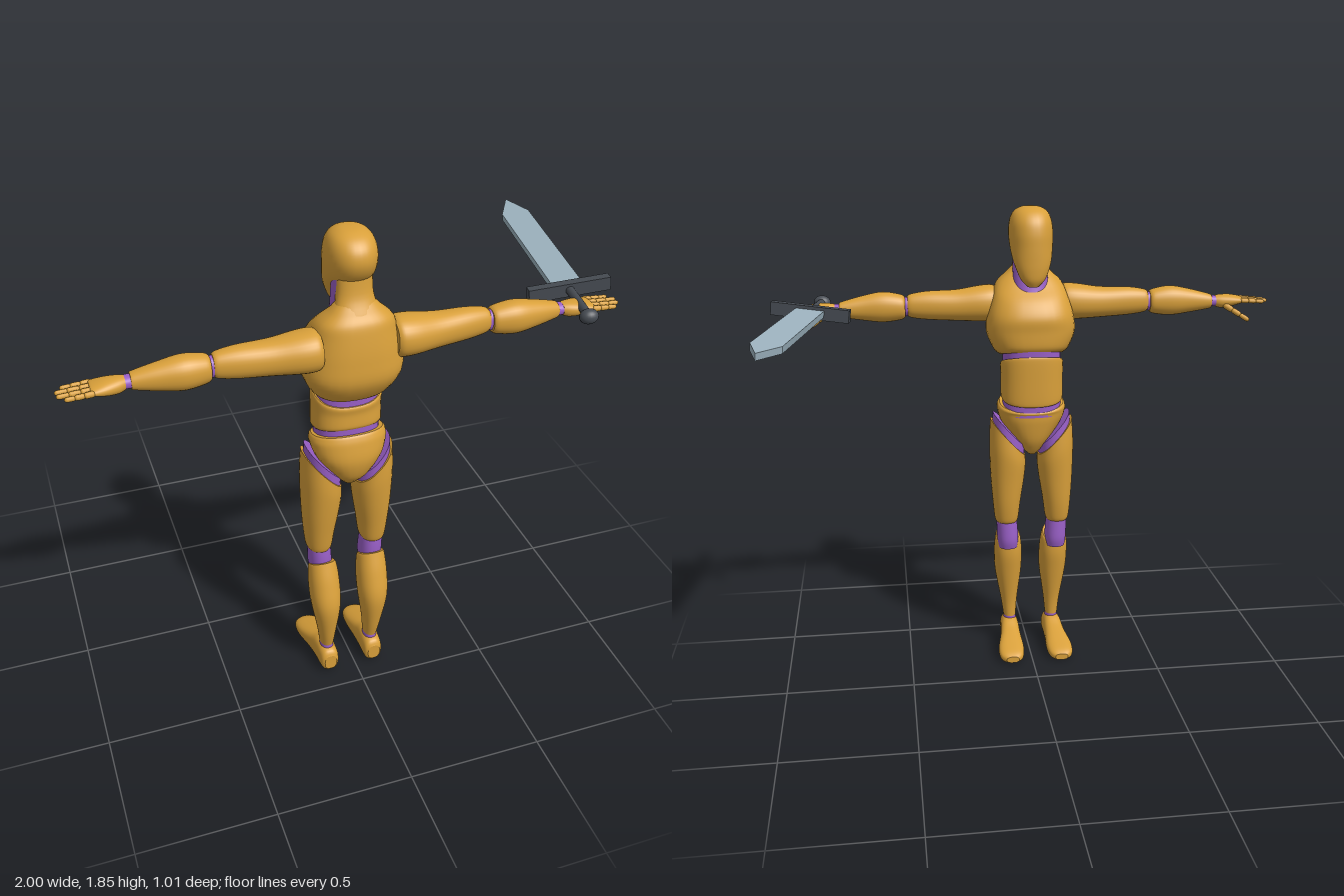
import * as THREE from 'three';

const mat = (name, color) => {
  const m = new THREE.MeshStandardMaterial({ color });
  m.name = name;
  return m;
};

// Catmull-Rom blend of four scalars
const blend = (a, b, c, d, t) =>
  0.5 * (2 * b + (c - a) * t + (2 * a - 5 * b + 4 * c - d) * t * t + (3 * b - a - 3 * c + d) * t * t * t);

// Smooth loft up the y axis through rows of
// [y, centreX, centreZ, radiusX, radiusZ, slopeX, slopeZ]; ends are capped with hard edges
function loft(rows, power = 2.2, seg = 32, sub = 5) {
  const rings = [];
  const n = rows.length;
  const val = (i, k) => rows[Math.min(n - 1, Math.max(0, i))][k] || 0;
  for (let i = 0; i < n - 1; i++) {
    for (let s = 0; s < sub + (i === n - 2 ? 1 : 0); s++) {
      rings.push([0, 1, 2, 3, 4, 5, 6].map((k) => blend(val(i - 1, k), val(i, k), val(i + 1, k), val(i + 2, k), s / sub)));
    }
  }
  const pos = [], idx = [];
  const bend = (v) => Math.sign(v) * Math.abs(v) ** (2 / power);
  const addRing = ([y, cx, cz, rx, rz, tx, tz]) => {
    const start = pos.length / 3;
    for (let j = 0; j < seg; j++) {
      const a = (j / seg) * Math.PI * 2;
      const x = rx * bend(Math.cos(a)), z = rz * bend(Math.sin(a));
      pos.push(cx + x, y + tx * x + tz * z, cz + z);
    }
    return start;
  };
  const starts = rings.map(addRing);
  for (let i = 0; i < starts.length - 1; i++) {
    for (let j = 0; j < seg; j++) {
      const k = (j + 1) % seg, p = starts[i], q = starts[i + 1];
      idx.push(p + j, q + j, p + k, p + k, q + j, q + k);
    }
  }
  [rings[0], rings[rings.length - 1]].forEach((r, top) => {
    const s = addRing(r), c = pos.length / 3;
    pos.push(r[1], r[0], r[2]);
    for (let j = 0; j < seg; j++) {
      const k = (j + 1) % seg;
      if (top) idx.push(c, s + k, s + j);
      else idx.push(c, s + j, s + k);
    }
  });
  const g = new THREE.BufferGeometry();
  g.setAttribute('position', new THREE.Float32BufferAttribute(pos, 3));
  g.setIndex(idx);
  g.computeVertexNormals();
  return g;
}

function add(parent, name, geometry, material) {
  const m = new THREE.Mesh(geometry, material);
  m.name = name;
  parent.add(m);
  return m;
}

// Chain of small capsules between two points
function digit(parent, name, from, to, r, material, count = 3) {
  const a = new THREE.Vector3(...from), b = new THREE.Vector3(...to);
  const dir = b.clone().sub(a), len = dir.length() / count;
  const g = new THREE.CapsuleGeometry(r, len - r * 1.3, 4, 10);
  for (let i = 0; i < count; i++) {
    const m = add(parent, name, g, material);
    m.position.lerpVectors(a, b, (i + 0.5) / count);
    m.quaternion.setFromUnitVectors(new THREE.Vector3(0, 1, 0), dir.clone().normalize());
    m.scale.set(1 - i * 0.1, 1, 1 - i * 0.1);
  }
}

function makeArm(gold, purple) {
  const arm = new THREE.Group();
  const part = (name, rows, material) => {
    const m = add(arm, name, loft(rows).rotateZ(-Math.PI / 2), material);
    m.position.set(0, 1.455, 0.385);
  };
  part('upperArm', [[0.13, -0.012, 0.01, 0.062, 0.066], [0.15, -0.012, 0.01, 0.071, 0.076], [0.2, -0.01, 0.008, 0.07, 0.076],
    [0.29, -0.006, 0.003, 0.061, 0.062], [0.4, -0.008, 0, 0.056, 0.05], [0.465, -0.008, -0.002, 0.047, 0.039], [0.482, -0.008, -0.002, 0.038, 0.032]], gold);
  part('elbowJoint', [[0.45, -0.006, -0.002, 0.037, 0.03], [0.53, -0.004, 0, 0.037, 0.03]], purple);
  part('forearm', [[0.492, -0.004, 0, 0.04, 0.038], [0.51, -0.004, 0, 0.05, 0.047], [0.58, -0.005, 0.003, 0.059, 0.054],
    [0.66, -0.003, 0, 0.047, 0.044], [0.735, 0, -0.006, 0.031, 0.032], [0.747, 0, -0.006, 0.026, 0.028]], gold);
  part('wristJoint', [[0.73, 0, -0.006, 0.023, 0.027], [0.79, 0, -0.004, 0.02, 0.026]], purple);
  part('palm', [[0.765, 0, -0.004, 0.022, 0.027], [0.79, 0.002, -0.002, 0.027, 0.036], [0.83, 0, 0.001, 0.024, 0.044],
    [0.868, -0.002, 0.002, 0.015, 0.045], [0.876, -0.002, 0.002, 0.01, 0.04]], gold);
  [0.96, 0.98, 0.977, 0.955].forEach((tip, i) => {
    const z = 0.35 + i * 0.025;
    digit(arm, 'finger', [0.866, 1.458, z], [tip, 1.452, z], 0.0105, gold);
  });
  digit(arm, 'thumb', [0.8, 1.44, 0.355], [0.885, 1.387, 0.302], 0.0125, gold);
  return arm;
}

function makeLeg(gold, purple) {
  const leg = new THREE.Group();
  add(leg, 'hipJoint', loft([[0.88, 0.095, 0.317, 0.064, 0.086, 1.1], [0.965, 0.092, 0.32, 0.063, 0.086, 1.1]]), purple);
  add(leg, 'thigh', loft([[0.572, 0.105, 0.312, 0.043, 0.054], [0.59, 0.105, 0.312, 0.049, 0.062], [0.66, 0.104, 0.312, 0.057, 0.074],
    [0.76, 0.1, 0.315, 0.068, 0.086, 0.1], [0.86, 0.098, 0.316, 0.073, 0.095, 0.6], [0.932, 0.096, 0.318, 0.07, 0.093, 1.1]]), gold);
  add(leg, 'kneeJoint', loft([[0.455, 0.1, 0.308, 0.038, 0.042], [0.49, 0.1, 0.311, 0.043, 0.053], [0.54, 0.102, 0.313, 0.043, 0.054], [0.6, 0.105, 0.313, 0.04, 0.05]]), purple);
  add(leg, 'shin', loft([[0.122, 0.09, 0.363, 0.026, 0.037], [0.2, 0.092, 0.37, 0.035, 0.05], [0.33, 0.095, 0.368, 0.055, 0.071],
    [0.42, 0.096, 0.35, 0.058, 0.066, 0, 0.2], [0.485, 0.097, 0.335, 0.053, 0.053, 0, 0.45], [0.5, 0.098, 0.333, 0.047, 0.048, 0, 0.55]]), gold);
  add(leg, 'ankleJoint', loft([[0.08, 0.09, 0.363, 0.027, 0.037], [0.135, 0.09, 0.363, 0.024, 0.034]]), purple);
  // foot runs from heel to toe along -z
  add(leg, 'foot', loft([[-0.422, 0.09, 0.05, 0.024, 0.032], [-0.405, 0.09, 0.055, 0.036, 0.05], [-0.34, 0.092, 0.058, 0.039, 0.057],
    [-0.28, 0.095, 0.046, 0.043, 0.045], [-0.2, 0.101, 0.033, 0.053, 0.032], [-0.145, 0.103, 0.024, 0.047, 0.023],
    [-0.12, 0.102, 0.02, 0.026, 0.013]], 2.6).rotateX(-Math.PI / 2), gold);
  return leg;
}

function makeSword(steel, iron) {
  const sword = new THREE.Group();
  const s = new THREE.Shape();
  [[-0.054, 0], [0.054, 0], [0.054, 0.655], [0, 0.79], [-0.054, 0.655]].forEach(([x, y], i) => (i ? s.lineTo(x, y) : s.moveTo(x, y)));
  const blade = new THREE.ExtrudeGeometry(s, { depth: 0.025, bevelEnabled: false });
  add(sword, 'blade', blade.translate(0, 0, -0.0125).rotateX(-Math.PI / 2), steel);
  add(sword, 'crossguard', new THREE.BoxGeometry(0.3, 0.05, 0.034), iron);
  const grip = add(sword, 'grip', new THREE.CylinderGeometry(0.016, 0.016, 0.21, 16).rotateX(Math.PI / 2), iron);
  grip.position.z = 0.105;
  const pommel = add(sword, 'pommel', new THREE.SphereGeometry(0.034, 20, 14), iron);
  pommel.scale.set(1, 0.8, 0.8);
  pommel.position.z = 0.212;
  sword.position.set(0.852, 1.467, 0.275);
  sword.rotation.set(0, -0.172, 0.11, 'YXZ');
  return sword;
}

export function createModel() {
  const gold = mat('gold body', 0xd9a03a);
  const purple = mat('purple joints', 0x9a60c8);
  const steel = mat('steel blue', 0x9db3bf);
  const iron = mat('dark iron', 0x464b52);
  const model = new THREE.Group();
  model.name = 'swordFigure';
  const body = new THREE.Group();
  body.name = 'figure';
  body.position.x = -0.017;
  model.add(body);

  // head and neck, face toward -z
  add(body, 'head', loft([[1.55, 0, 0.25, 0.022, 0.028], [1.575, 0, 0.253, 0.046, 0.043], [1.61, 0, 0.258, 0.062, 0.052], [1.65, 0, 0.278, 0.075, 0.073],
    [1.7, 0, 0.308, 0.083, 0.103], [1.75, 0, 0.322, 0.086, 0.115], [1.795, 0, 0.326, 0.081, 0.107],
    [1.828, 0, 0.326, 0.066, 0.08], [1.846, 0, 0.324, 0.038, 0.042], [1.85, 0, 0.323, 0.006, 0.006]]), gold);
  add(body, 'neck', loft([[1.46, 0, 0.32, 0.075, 0.075], [1.55, 0, 0.33, 0.069, 0.06], [1.7, 0, 0.35, 0.069, 0.05]]), purple);
  add(body, 'neckBack', loft([[1.5, 0, 0.4, 0.12, 0.065], [1.565, 0, 0.4, 0.084, 0.053], [1.635, 0, 0.375, 0.064, 0.042], [1.71, 0, 0.365, 0.062, 0.04]]), gold);

  // torso
  add(body, 'chest', loft([[1.275, 0, 0.308, 0.122, 0.1, 0, -0.24], [1.295, 0, 0.318, 0.148, 0.12, 0, -0.22], [1.36, 0, 0.34, 0.176, 0.144, 0, -0.1],
    [1.43, 0, 0.34, 0.17, 0.145], [1.5, 0, 0.35, 0.15, 0.124, 0, 0.1], [1.55, 0, 0.372, 0.13, 0.09, 0, 0.1],
    [1.59, 0, 0.385, 0.09, 0.055], [1.615, 0, 0.382, 0.066, 0.042]], 2.5), gold);
  add(body, 'torsoCore', loft([[1.03, 0, 0.308, 0.117, 0.09], [1.32, 0, 0.303, 0.115, 0.097]], 2.4), purple);
  add(body, 'abdomen', loft([[1.1, 0, 0.303, 0.12, 0.097, 0, 0.25], [1.115, 0, 0.303, 0.125, 0.102, 0, 0.22], [1.18, 0, 0.301, 0.124, 0.102],
    [1.235, 0, 0.302, 0.125, 0.104, 0, -0.28], [1.248, 0, 0.302, 0.121, 0.1, 0, -0.32]], 2.4), gold);
  add(body, 'pelvis', loft([[0.863, 0, 0.318, 0.018, 0.042], [0.885, 0, 0.321, 0.04, 0.063], [0.93, 0, 0.328, 0.077, 0.092], [1.0, 0, 0.33, 0.123, 0.108],
    [1.05, 0, 0.324, 0.138, 0.105, 0, 0.15], [1.07, 0, 0.317, 0.136, 0.102, 0, 0.24], [1.079, 0, 0.316, 0.129, 0.096, 0, 0.26]], 2.3), gold);

  // limbs, mirrored
  for (const side of [1, -1]) {
    const arm = makeArm(gold, purple), leg = makeLeg(gold, purple);
    arm.name = side > 0 ? 'leftArm' : 'rightArm';
    leg.name = side > 0 ? 'leftLeg' : 'rightLeg';
    arm.scale.x = leg.scale.x = side;
    body.add(arm, leg);
  }

  const sword = makeSword(steel, iron);
  sword.name = 'sword';
  body.add(sword);
  return model;
}
